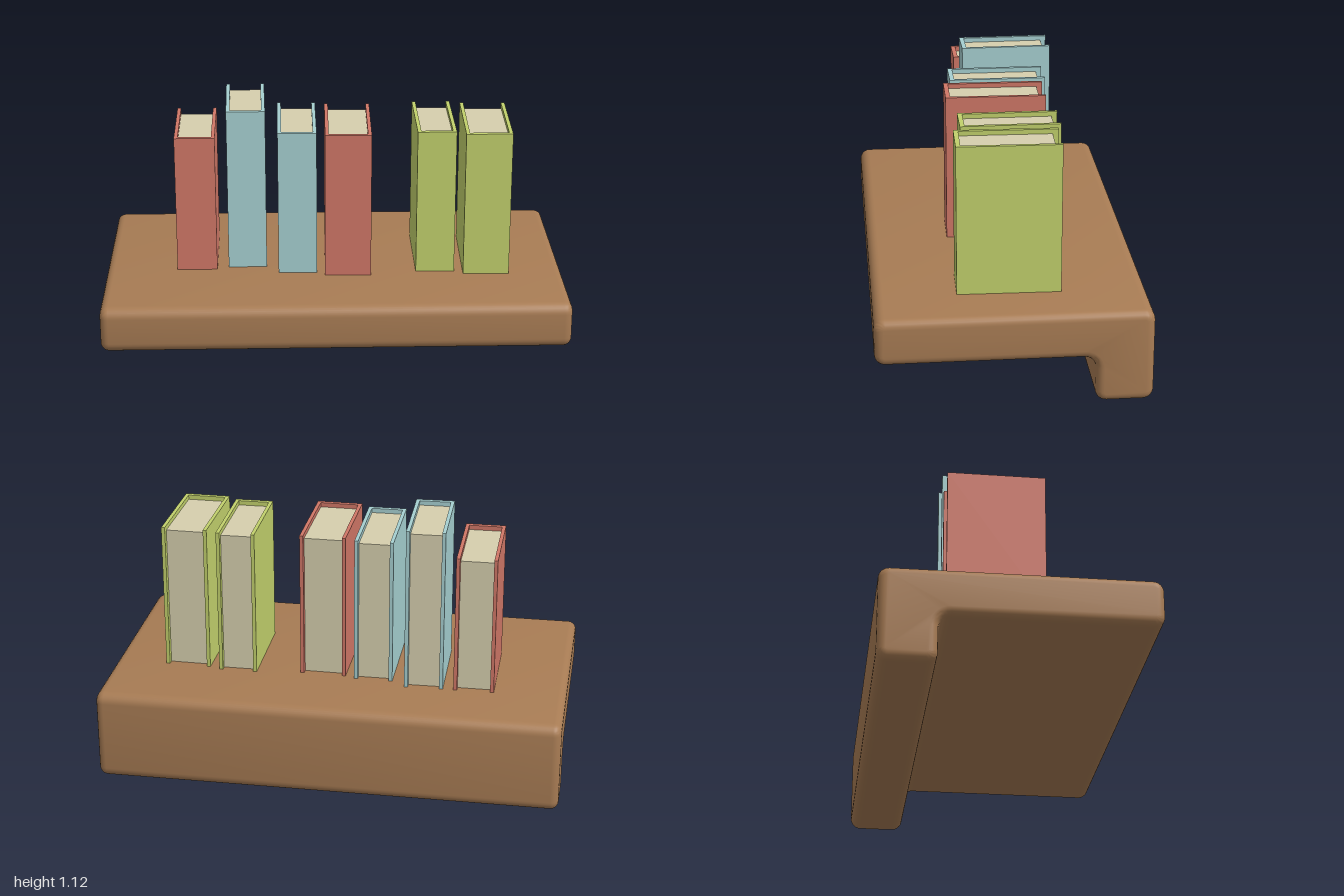
import * as THREE from 'three';
import { toCreasedNormals } from 'three/addons/utils/BufferGeometryUtils.js';

const mat = (color) => new THREE.MeshStandardMaterial({ color });
const wood = mat(0xa87c54), paper = mat(0xd6cfae);
const red = mat(0xd07767), blue = mat(0xa6d0d1), green = mat(0xc2d16c);

const SHELF_TOP = 0.4;

// Closed outline with every corner rounded by its own radius: [x, y, r]
function roundedOutline(corners) {
  const shape = new THREE.Shape();
  const n = corners.length;
  corners.forEach(([x, y, r], i) => {
    const p = new THREE.Vector2(x, y);
    const toward = ([qx, qy]) => new THREE.Vector2(qx, qy).sub(p).setLength(r).add(p);
    const a = toward(corners[(i + n - 1) % n]);
    const b = toward(corners[(i + 1) % n]);
    if (i === 0) shape.moveTo(a.x, a.y);
    else shape.lineTo(a.x, a.y);
    // cubic close to a quarter circle
    const c1 = a.clone().lerp(p, 0.552), c2 = b.clone().lerp(p, 0.552);
    shape.bezierCurveTo(c1.x, c1.y, c2.x, c2.y, b.x, b.y);
  });
  shape.closePath();
  return shape;
}

// L-shaped board with a lip along its back edge, all edges rounded
function makeShelf() {
  const bevel = 0.035, r = 0.045;
  const outline = roundedOutline([
    [-0.57, 0.2, r], [0.33, 0.2, 0.05], [0.33, 0, r],
    [0.57, 0, r], [0.57, SHELF_TOP, r], [-0.57, SHELF_TOP, r],
  ]);
  const geo = new THREE.ExtrudeGeometry(outline, {
    depth: 2 - 2 * bevel, curveSegments: 7,
    bevelThickness: bevel, bevelSize: bevel, bevelOffset: -bevel, bevelSegments: 5,
  });
  geo.translate(0, 0, bevel - 1).rotateY(Math.PI / 2);
  const mesh = new THREE.Mesh(toCreasedNormals(geo, 0.6), wood);
  mesh.name = 'shelf';
  return mesh;
}

// Book standing upright, spine to the front, open edge of the pages to the back
function makeBook({ x, z, width, depth, height, turn, color }) {
  const board = 0.016, spine = 0.02, inset = 0.025;
  const book = new THREE.Group();
  book.name = 'book';
  const w = width / 2, d = depth / 2;

  // U-shaped cover: spine and two boards
  const u = new THREE.Shape([
    [-w, -d], [w, -d], [w, d], [w - board, d],
    [w - board, -d + spine], [-w + board, -d + spine], [-w + board, d], [-w, d],
  ].map(([a, b]) => new THREE.Vector2(a, b)));
  const coverGeo = new THREE.ExtrudeGeometry(u, { depth: height, bevelEnabled: false });
  coverGeo.rotateX(-Math.PI / 2);
  const cover = new THREE.Mesh(coverGeo, color);
  cover.name = 'cover';

  // Page block, set in from the top and back of the cover
  const pageHeight = height - 0.02, pageDepth = depth - spine - inset;
  const pages = new THREE.Mesh(
    new THREE.BoxGeometry(width - 2 * board, pageHeight, pageDepth), paper);
  pages.position.set(0, pageHeight / 2, d - spine - pageDepth / 2);
  pages.name = 'pages';

  book.add(cover, pages);
  book.position.set(x, SHELF_TOP, z);
  book.rotation.y = turn;
  return book;
}

export function createModel() {
  const model = new THREE.Group();
  model.name = 'bookshelf';
  model.add(makeShelf());

  const books = [
    { x: -0.602, z: -0.068, width: 0.175, depth: 0.415, height: 0.61, turn: 0.005, color: red },
    { x: -0.383, z: -0.082, width: 0.168, depth: 0.395, height: 0.72, turn: 0.016, color: blue },
    { x: -0.16, z: -0.024, width: 0.168, depth: 0.42, height: 0.645, turn: 0, color: blue },
    { x: 0.062, z: 0.003, width: 0.2, depth: 0.432, height: 0.645, turn: -0.014, color: red },
    { x: 0.441, z: -0.024, width: 0.168, depth: 0.42, height: 0.645, turn: 0, color: green },
    { x: 0.666, z: 0.003, width: 0.2, depth: 0.432, height: 0.645, turn: -0.018, color: green },
  ];
  books.forEach((b) => model.add(makeBook(b)));
  return model;
}
